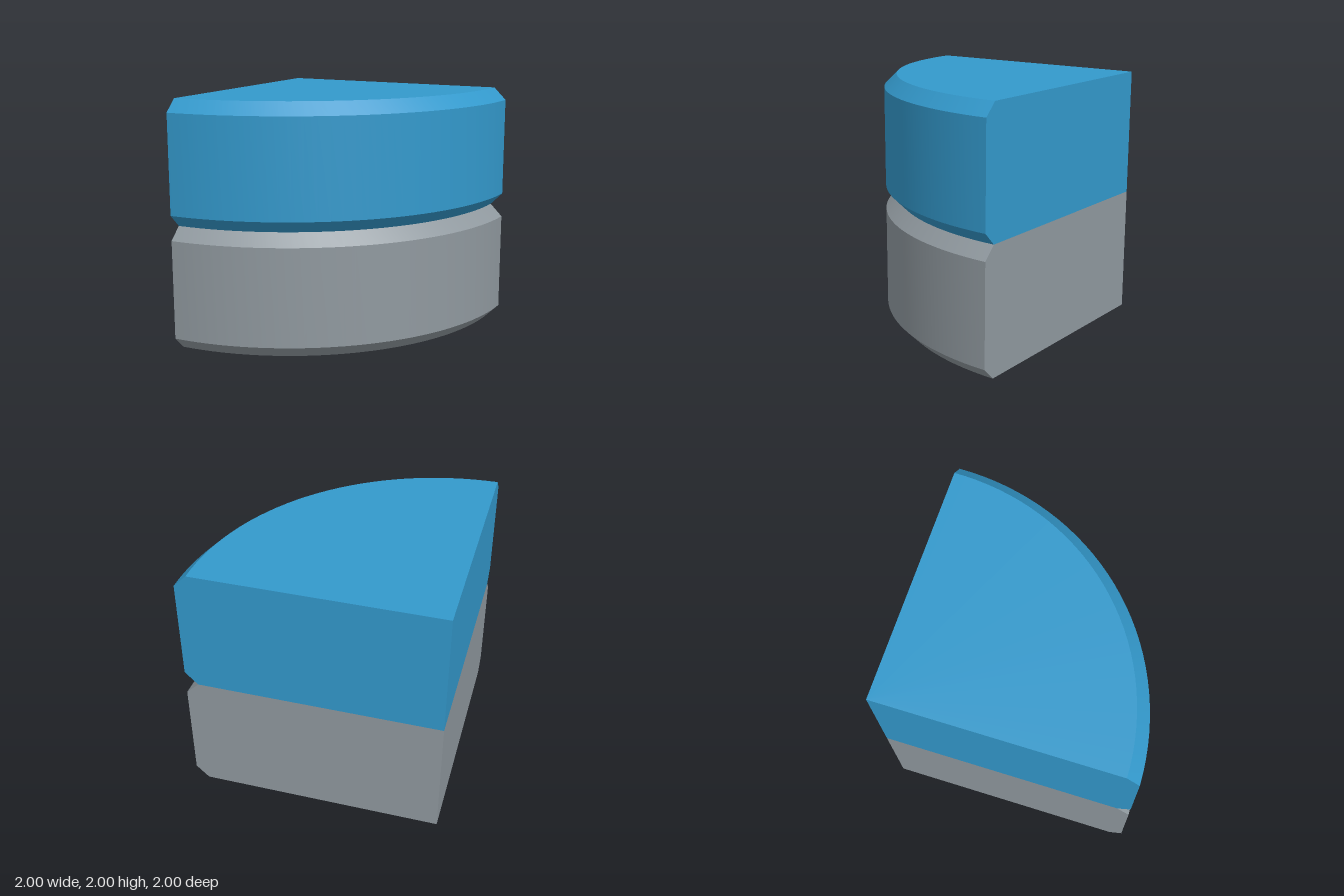
import * as THREE from 'three';
import { toCreasedNormals } from 'three/addons/utils/BufferGeometryUtils.js';

const blue = new THREE.MeshStandardMaterial({ color: 0x3399cc });
blue.name = 'blue';
const grey = new THREE.MeshStandardMaterial({ color: 0x90999f });
grey.name = 'grey';

// Half section of one slab: radius 2, height 1, chamfered rims
const profile = [[0, 0], [1.9, 0], [2, 0.1], [2, 0.9], [1.9, 1], [0, 1]];

function section(sign) {
  return new THREE.ShapeGeometry(
    new THREE.Shape(profile.map(([r, y]) => new THREE.Vector2(sign * r, y))));
}

// A quarter-round slab: swept shell closed by two flat cut faces
function quarterSlab(name, material) {
  const slab = new THREE.Group();
  slab.name = name;
  const add = (part, geometry) => {
    const mesh = new THREE.Mesh(geometry, material);
    mesh.name = part;
    slab.add(mesh);
  };
  const points = profile.map(([r, y]) => new THREE.Vector2(r, y));
  const shell = new THREE.LatheGeometry(points, 32, 0, Math.PI / 2);
  add('roundedShell', toCreasedNormals(shell, Math.PI / 6));
  add('rightCutFace', section(1).rotateY(-Math.PI / 2));
  add('backCutFace', section(-1).rotateY(Math.PI));
  return slab;
}

export function createModel() {
  const model = new THREE.Group();
  model.name = 'quarterRoundStack';
  const lower = quarterSlab('lowerSlab', grey);
  const upper = quarterSlab('upperSlab', blue);
  // The square corner sits at the back right
  lower.position.set(-1, 0, -1);
  upper.position.set(-1, 1, -1);
  model.add(lower, upper);
  return model;
}
